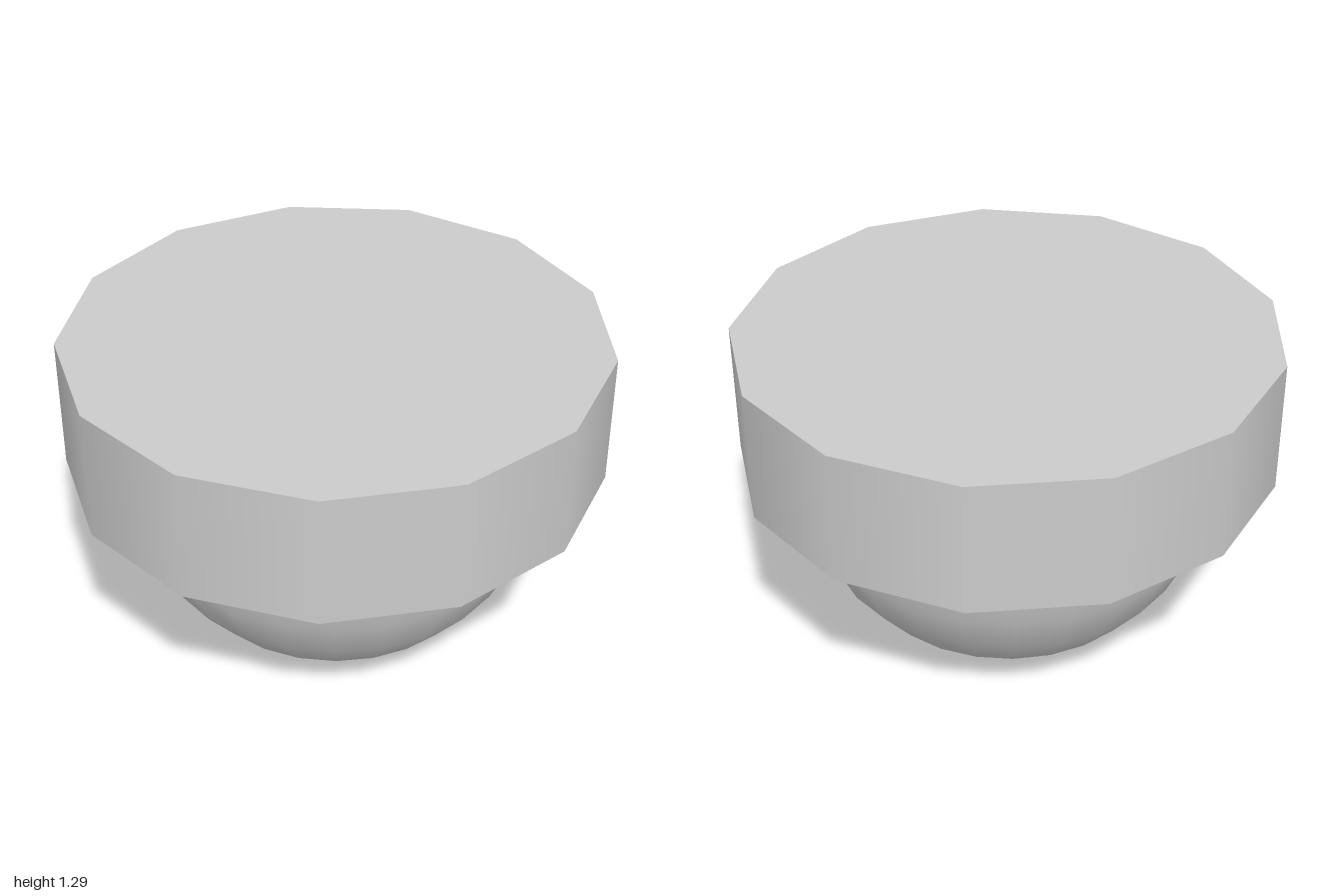
import * as THREE from 'three';

export function createModel() {
  const group = new THREE.Group();
  const material = new THREE.MeshStandardMaterial({ color: 0xcccccc });
  const centreX = 0.0146; // the odd-sided outline has a corner only on the -x side

  function add(name, geometry, y) {
    const mesh = new THREE.Mesh(geometry, material);
    mesh.name = name;
    mesh.position.set(centreX, y, 0);
    group.add(mesh);
  }

  // Thick thirteen-sided plate
  const plateHeight = 0.504;
  const plateBottom = 0.788;
  add('plate',
    new THREE.CylinderGeometry(1.007, 1.007, plateHeight, 13, 1, false, -Math.PI / 2),
    plateBottom + plateHeight / 2);

  // Half ball hanging below, its rim tucked just inside the plate
  const radius = 0.805;
  const step = Math.PI * 2 / 25;
  const profile = [];
  for (let i = 0; i <= 7; i++) {
    const a = Math.min(i * step, Math.PI / 2);
    profile.push(new THREE.Vector2(radius * Math.sin(a), radius * (1 - Math.cos(a))));
  }
  add('dome', new THREE.LatheGeometry(profile, 25, -Math.PI / 2), 0);

  return group;
}
